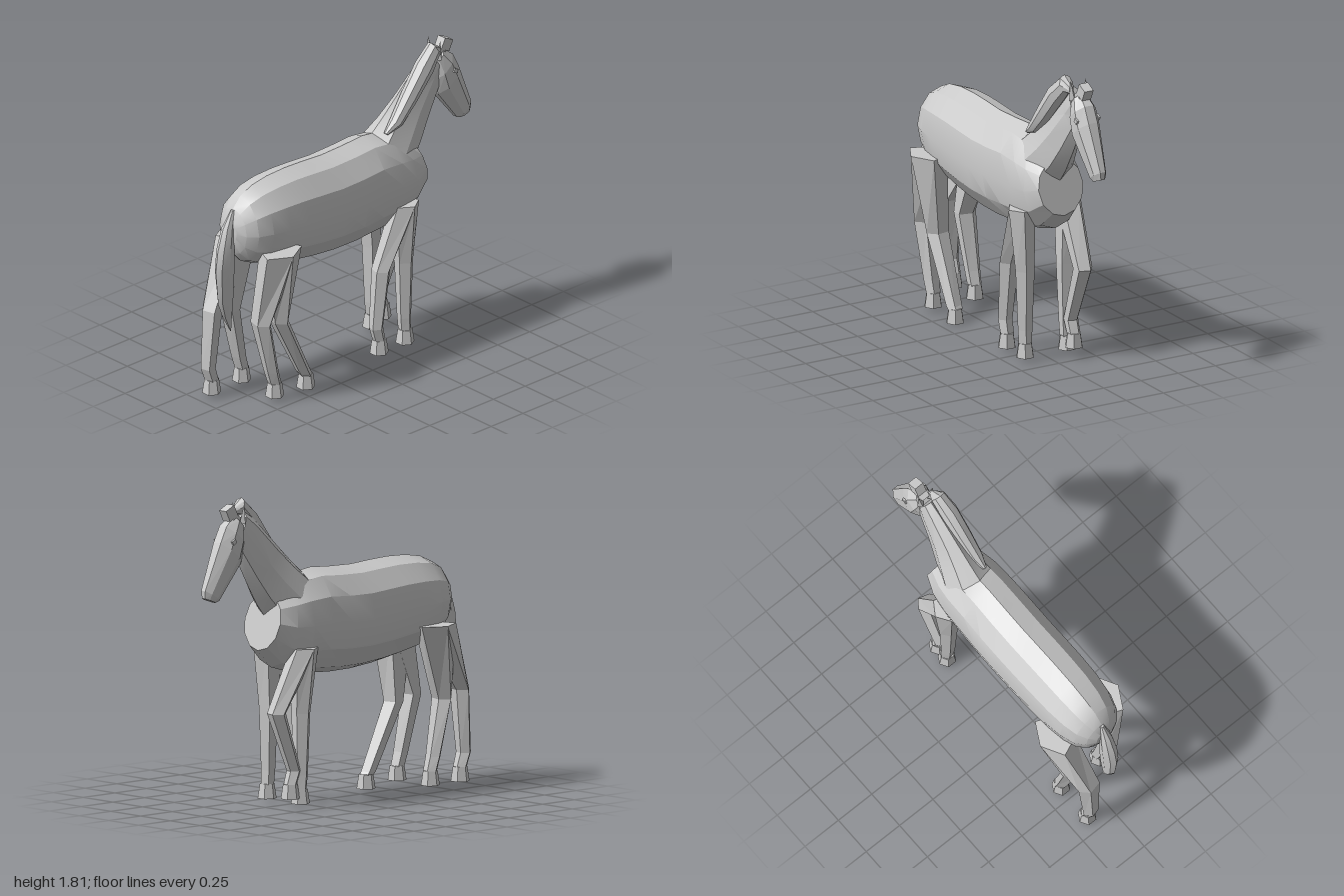
import * as THREE from 'three';
import { toCreasedNormals } from 'three/addons/utils/BufferGeometryUtils.js';

const flat = new THREE.MeshStandardMaterial({ color: 0xcccccc, flatShading: true });
const soft = new THREE.MeshStandardMaterial({ color: 0xcccccc });

// Skin of elliptical rings [x, y, z, halfWidth, halfDepth, tilt].
// Each ring spans the x axis and the direction (0, cos tilt, sin tilt).
function loft(sections, sides, phase = 0) {
  const pos = [], index = [];
  for (const [x, y, z, rx, r, t] of sections) {
    for (let j = 0; j < sides; j++) {
      const a = phase + (j / sides) * Math.PI * 2;
      const d = r * Math.sin(a);
      pos.push(x + rx * Math.cos(a), y + d * Math.cos(t), z + d * Math.sin(t));
    }
  }
  const last = sections.length - 1;
  const first = pos.length / 3;
  for (const s of [sections[0], sections[last]]) pos.push(s[0], s[1], s[2]);
  for (let j = 0; j < sides; j++) {
    const k = (j + 1) % sides;
    for (let i = 0; i < last; i++) {
      const a = i * sides + j, b = i * sides + k;
      index.push(a, b, b + sides, a, b + sides, a + sides);
    }
    index.push(first, k, j, first + 1, last * sides + j, last * sides + k);
  }
  const g = new THREE.BufferGeometry();
  g.setAttribute('position', new THREE.Float32BufferAttribute(pos, 3));
  g.setIndex(index);
  g.computeVertexNormals();
  return g;
}

function add(parent, name, geometry, smooth = false) {
  const mesh = new THREE.Mesh(smooth ? toCreasedNormals(geometry, 0.42) : geometry, smooth ? soft : flat);
  mesh.name = name;
  parent.add(mesh);
  return mesh;
}

// Five-sided leg: joints are [x, y, z, halfWidth, halfDepth], hoof is [y, z]
function addLeg(parent, name, side, joints, hoof) {
  const leg = new THREE.Group();
  leg.name = name;
  const phase = side > 0 ? 0 : Math.PI;
  add(leg, 'limb', loft(joints.map(([x, y, z, rx, r]) => [side * x, y, z, rx, r, Math.PI / 2]), 5, phase));
  const h = add(leg, 'hoof', new THREE.CylinderGeometry(0.043, 0.056, 0.085, 6));
  h.position.set(side * 0.14, hoof[0] + 0.0425, hoof[1]);
  h.rotation.y = Math.PI / 6;
  parent.add(leg);
}

export function createModel() {
  const horse = new THREE.Group();
  horse.name = 'eightLeggedHorse';

  // Barrel: slanted chest ring, then [z, top, bottom, halfWidth] rings to the rump
  const barrel = [
    [-0.3, 1.345, 0.765, 0.207], [-0.15, 1.365, 0.75, 0.212], [0.0, 1.355, 0.74, 0.215],
    [0.17, 1.35, 0.742, 0.215], [0.33, 1.36, 0.757, 0.215], [0.46, 1.365, 0.777, 0.213],
    [0.6, 1.36, 0.805, 0.208], [0.72, 1.34, 0.842, 0.192], [0.81, 1.3, 0.885, 0.162],
    [0.865, 1.24, 0.95, 0.115], [0.893, 1.17, 1.03, 0.06],
  ].map(([z, top, bottom, w]) => [0, (top + bottom) / 2, z, w, (top - bottom) / 2, 0]);
  add(horse, 'body', loft([
    [0, 1.085, -0.522, 0.15, 0.17, 0.23],
    [0, 1.06, -0.42, 0.19, 0.25, 0.16],
    ...barrel,
  ], 12), true);

  // Neck, from poll to withers
  add(horse, 'neck', loft([
    [0, 1.65, -0.71, 0.048, 0.1, 0.45],
    [0, 1.58, -0.66, 0.06, 0.13, 0.6],
    [0, 1.42, -0.53, 0.085, 0.155, 0.85],
    [0, 1.31, -0.44, 0.115, 0.175, 0.87],
    [0, 1.2, -0.335, 0.155, 0.19, 0.8],
  ], 8), true);

  // Mane, a thick strip falling to one side of the neck
  add(horse, 'mane', loft([
    [0.045, 1.74, -0.715, 0.015, 0.025, 0.1],
    [0.05, 1.765, -0.665, 0.045, 0.055, 0.45],
    [0.06, 1.68, -0.58, 0.055, 0.065, 0.85],
    [0.065, 1.53, -0.455, 0.05, 0.055, 0.88],
    [0.07, 1.41, -0.35, 0.04, 0.04, 0.88],
    [0.07, 1.36, -0.27, 0.015, 0.012, 0.88],
  ], 8), true);

  // Head, from muzzle to poll
  add(horse, 'head', loft([
    [0, 1.25, -0.947, 0.032, 0.048, -1.2],
    [0, 1.278, -0.935, 0.045, 0.07, -1.02],
    [0, 1.515, -0.8, 0.078, 0.112, -0.89],
    [0, 1.61, -0.765, 0.076, 0.1, -0.85],
    [0, 1.685, -0.73, 0.05, 0.058, -0.75],
  ], 8, Math.PI / 8));

  // Forelock blocks
  for (const [y, z, s, tilt] of [[1.745, -0.79, 0.07, -0.45], [1.7, -0.75, 0.055, 0.5]]) {
    const tuft = add(horse, 'forelock', new THREE.BoxGeometry(0.06, s, s));
    tuft.position.set(0, y, z);
    tuft.rotation.x = tilt;
  }

  // Ears and eyes
  for (const side of [1, -1]) {
    const ear = add(horse, side > 0 ? 'leftEar' : 'rightEar', new THREE.ConeGeometry(0.024, 0.12, 4));
    ear.position.set(side * 0.045, 1.74, -0.715);
    ear.rotation.z = -side * 0.12;
    const eye = add(horse, side > 0 ? 'leftEye' : 'rightEye', new THREE.BoxGeometry(0.012, 0.025, 0.03));
    eye.position.set(side * 0.073, 1.585, -0.815);
    eye.rotation.x = -0.5;
  }

  // Tail
  add(horse, 'tail', loft([
    [0, 1.23, 0.868, 0.012, 0.015],
    [0, 1.13, 0.905, 0.035, 0.04],
    [0, 1.0, 0.925, 0.045, 0.06],
    [0, 0.87, 0.932, 0.042, 0.07],
    [0, 0.66, 0.925, 0.028, 0.058],
    [0, 0.56, 0.91, 0.015, 0.035],
    [0, 0.46, 0.885, 0.002, 0.003],
  ].map((s) => [...s, Math.PI / 2]), 8), true);

  // Hind legs share a hip per side: [side, knee y, knee z, fetlock y, fetlock z, hoof y, hoof z]
  for (const [side, ky, kz, fy, fz, hy, hz] of [
    [1, 0.52, 0.77, 0.19, 0.695, 0.025, 0.67],
    [1, 0.49, 0.63, 0.1, 0.44, 0, 0.425],
    [-1, 0.56, 0.91, 0.19, 0.935, 0.025, 0.905],
    [-1, 0.52, 0.77, 0.19, 0.695, 0.025, 0.67],
  ]) {
    addLeg(horse, 'hindLeg', side, [
      [0.185, 0.965, 0.665, 0.108, 0.142],
      [0.135, ky, kz, 0.072, 0.052],
      [0.14, fy, fz, 0.05, 0.042],
      [0.14, hy + 0.08, hz, 0.045, 0.04],
    ], [hy, hz]);
  }

  // Front legs share a shoulder per side, same layout
  for (const [side, ky, kz, fy, fz, hy, hz] of [
    [1, 0.55, -0.17, 0.19, -0.13, 0.025, -0.152],
    [1, 0.55, -0.348, 0.19, -0.35, 0.025, -0.355],
    [-1, 0.565, -0.54, 0.22, -0.405, 0.06, -0.435],
    [-1, 0.55, -0.348, 0.19, -0.35, 0.025, -0.355],
  ]) {
    addLeg(horse, 'frontLeg', side, [
      [0.16, 0.93, -0.34, 0.08, 0.088],
      [0.14, ky, kz, 0.06, 0.056],
      [0.14, fy, fz, 0.045, 0.042],
      [0.14, hy + 0.08, hz, 0.042, 0.038],
    ], [hy, hz]);
  }

  return horse;
}
